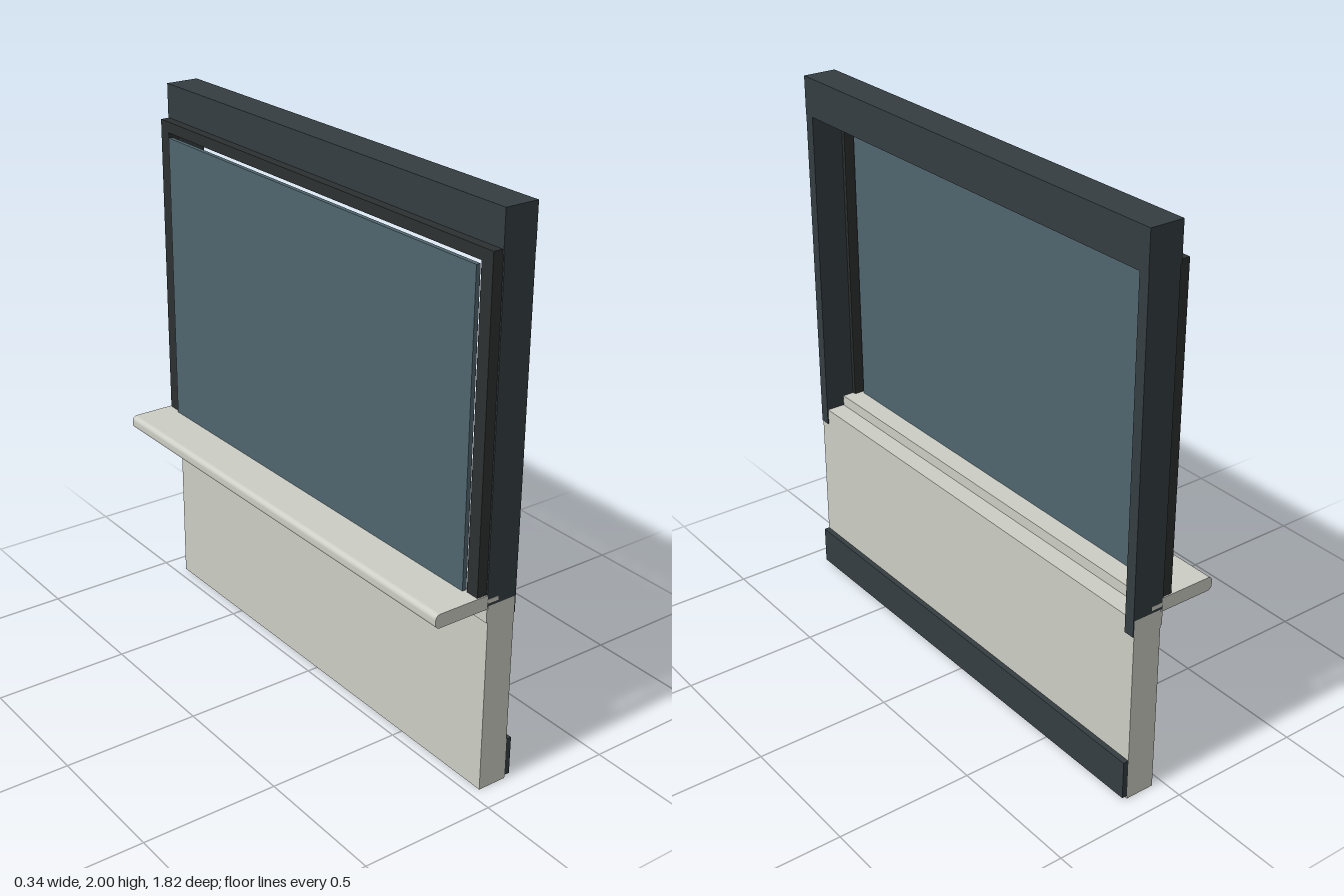
import * as THREE from 'three';

export function createModel() {
  const model = new THREE.Group();
  const mat = (color) => new THREE.MeshStandardMaterial({ color });
  const light = mat(0xcccdc4);
  const dark = mat(0x343d41);
  const charcoal = mat(0x2d3030);
  const glass = mat(0x4f656d);

  // Box given by its lower and upper limits on each axis
  function box(name, material, [x0, x1], [y0, y1], [z0, z1]) {
    const mesh = new THREE.Mesh(new THREE.BoxGeometry(x1 - x0, y1 - y0, z1 - z0), material);
    mesh.position.set((x0 + x1) / 2, (y0 + y1) / 2, (z0 + z1) / 2);
    mesh.name = name;
    model.add(mesh);
  }
  const both = (a, b) => [[a, b], [-b, -a]];
  const W = 0.91;

  // Lower wall and skirting board
  box('lowerWall', light, [0.04, 0.15], [0, 0.7], [-W, W]);
  box('skirtingBoard', dark, [0.15, 0.17], [0.012, 0.155], [-W, W]);

  // Header beam and side posts with thin casing lapping over the wall
  box('header', dark, [0.03, 0.155], [1.86, 2], [-W, W]);
  for (const z of both(0.87, W)) {
    box('sidePost', dark, [0.034, 0.15], [0.7, 1.86], z);
    box('sideCasing', dark, [0.15, 0.154], [0.64, 1.86], z);
  }

  // Outer window frame as one extruded U shape, open at the sill
  const outline = new THREE.Shape([
    [-0.905, 0.73], [-0.855, 0.73], [-0.855, 1.835], [0.855, 1.835],
    [0.855, 0.73], [0.905, 0.73], [0.905, 1.875], [-0.905, 1.875],
  ].map(([z, y]) => new THREE.Vector2(z, y)));
  const frame = new THREE.Mesh(
    new THREE.ExtrudeGeometry(outline, { depth: 0.04, bevelEnabled: false }), charcoal);
  frame.rotation.y = Math.PI / 2;
  frame.position.x = -0.004;
  frame.name = 'windowFrame';
  model.add(frame);

  // Glass pane, held clear of the frame by a narrow gap
  box('glassPane', glass, [-0.012, 0.004], [0.735, 1.82], [-0.843, 0.843]);

  // Sill with rounded outer nose
  const r = 0.018;
  const profile = new THREE.Shape();
  profile.moveTo(0.036, 0.69);
  profile.lineTo(0.036, 0.74);
  profile.lineTo(-0.175 + r, 0.74);
  profile.absarc(-0.175 + r, 0.74 - r, r, Math.PI / 2, Math.PI, false);
  profile.absarc(-0.175 + r, 0.69 + r, r, Math.PI, Math.PI * 1.5, false);
  profile.closePath();
  const sill = new THREE.Mesh(
    new THREE.ExtrudeGeometry(profile, { depth: 2 * W, bevelEnabled: false, curveSegments: 6 }), light);
  sill.position.z = -W;
  sill.name = 'sill';
  model.add(sill);

  // Inner sill step between the posts, tongue and under-sill strip
  box('sillStep', light, [0.036, 0.08], [0.7, 0.74], [-0.868, 0.868]);
  box('sillTongue', light, [0.036, 0.08], [0.71, 0.725], [-W - 0.001, W + 0.001]);
  box('underSillStrip', light, [0.034, 0.04], [0.64, 0.69], [-W, W]);

  return model;
}
